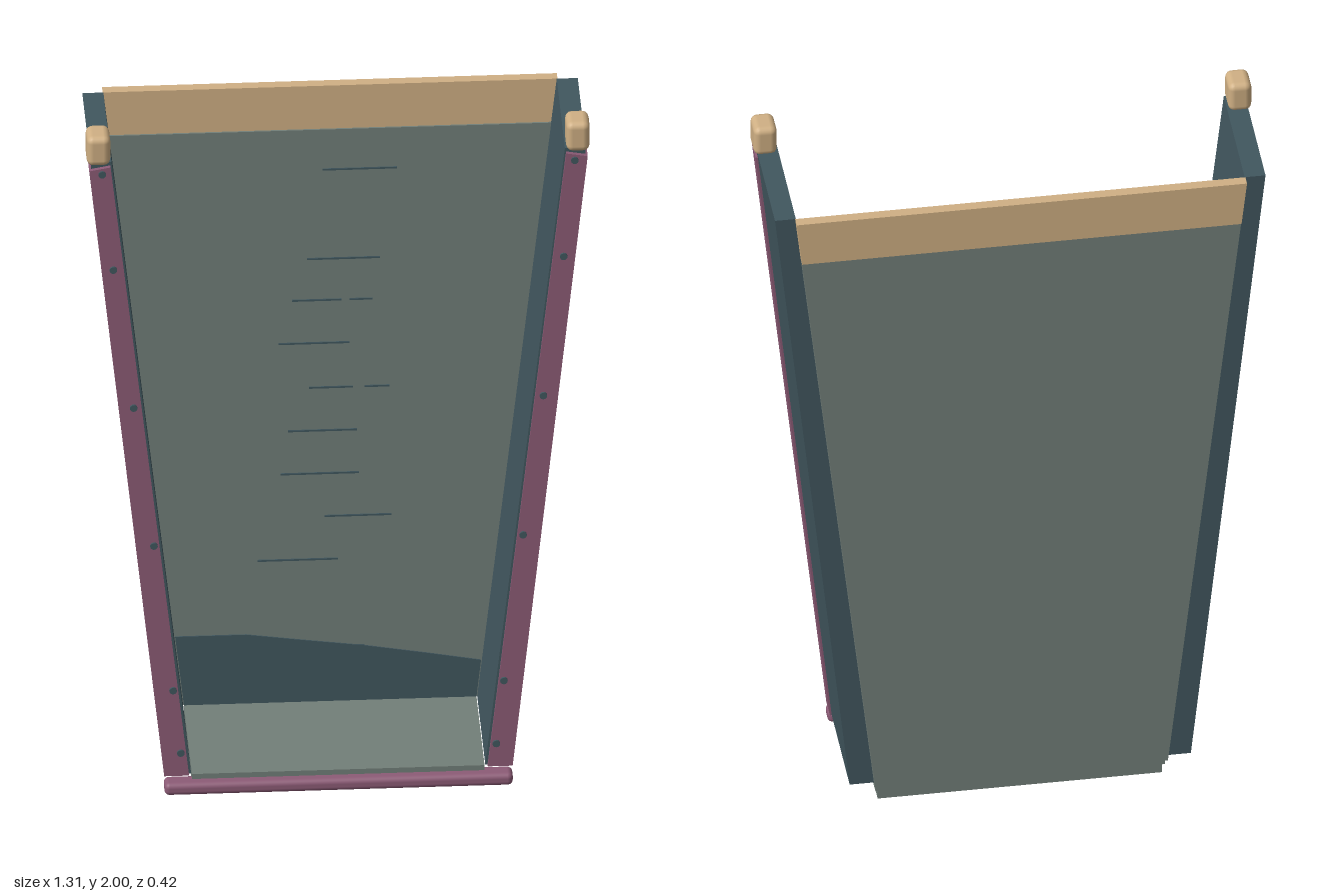
import * as THREE from 'three';
import { RoundedBoxGeometry } from 'three/addons/geometries/RoundedBoxGeometry.js';

const material = (name, color) => {
  const m = new THREE.MeshStandardMaterial({ color });
  m.name = name;
  return m;
};

// Flat outline in x/y given thickness from z0 to z1
function slab(points, z0, z1) {
  const shape = new THREE.Shape(points.map(([x, y]) => new THREE.Vector2(x, y)));
  const g = new THREE.ExtrudeGeometry(shape, { depth: z1 - z0, bevelEnabled: false });
  return g.translate(0, 0, z0);
}

export function createModel() {
  const teal = material('darkTeal', 0x41575f);
  const grey = material('greyGreen', 0x727f79);
  const plum = material('plum', 0x8c5b76);
  const tan = material('tan', 0xd0b084);

  const model = new THREE.Group();
  const add = (name, geometry, mat, parent = model) => {
    const mesh = new THREE.Mesh(geometry, mat);
    mesh.name = name;
    parent.add(mesh);
    return mesh;
  };

  // Inner half width of the flared trough at a given height
  const inner = (y) => 0.382 + (y - 0.06) * 0.1118;
  const band = (y0, y1, extra = 0) => [
    [-inner(y0) - extra, y0], [inner(y0) + extra, y0],
    [inner(y1) + extra, y1], [-inner(y1) - extra, y1],
  ];

  // Back panel with its top rail
  add('backPanel', slab(band(0.06, 1.79, 0.004), -0.203, -0.175), grey);
  add('topRail', slab(band(1.79, 1.92, 0.004), -0.208, -0.18), tan);

  // Floor, stepped in at the underside
  add('floor', slab([[-0.382, 0.03], [0.382, 0.03], [0.382, 0.06], [-0.382, 0.06]], -0.178, 0.18), grey);
  add('floorBase', slab([[-0.375, 0], [0.375, 0], [0.375, 0.03], [-0.375, 0.03]], -0.172, 0.175), grey);

  // Front sill bar
  const sill = add('frontSill', new RoundedBoxGeometry(0.91, 0.036, 0.052, 3, 0.014), plum);
  sill.position.set(0, 0.027, 0.181);

  // Side walls, front trims, rivets and corner caps
  const rivets = [[0.617, 1.89], [0.588, 1.6], [0.535, 1.18], [0.482, 0.76], [0.432, 0.32], [0.412, 0.13]];
  for (const s of [1, -1]) {
    const side = new THREE.Group();
    side.name = s > 0 ? 'leftSide' : 'rightSide';
    model.add(side);
    const mirror = (pts) => pts.map(([x, y]) => [s * x, y]);
    add('wall', slab(mirror([[0.384, 0.06], [0.45, 0.06], [0.647, 1.92], [0.592, 1.92]]), -0.18, 0.176), teal, side);
    add('trim', slab(mirror([[0.39, 0.06], [0.455, 0.06], [0.651, 1.9], [0.595, 1.91]]), 0.125, 0.187), plum, side);
    const cap = add('cornerCap', new RoundedBoxGeometry(0.062, 0.087, 0.082, 2, 0.018), tan, side);
    cap.position.set(s * 0.626, 1.9565, 0.15);
    for (const [x, y] of rivets) {
      const rivet = add('rivet', new THREE.CylinderGeometry(0.01, 0.01, 0.008, 12).rotateX(Math.PI / 2), teal, side);
      rivet.position.set(s * x, y, 0.188);
    }
  }

  // Dark stain along the foot of the back panel
  add('lowerStain', slab([
    [-0.382, 0.06], [0.382, 0.06], [0.394, 0.17], [0.25, 0.197], [0.09, 0.225],
    [-0.08, 0.248], [-0.22, 0.268], [-0.405, 0.268],
  ], -0.175, -0.172), teal);

  // Thin scratches: height, left end, right end
  const scratches = [
    [1.67, -0.02, 0.175], [1.4, -0.06, 0.13], [1.275, -0.1, 0.03], [1.275, 0.05, 0.11],
    [1.145, -0.135, 0.05], [1.01, -0.055, 0.06], [1.01, 0.09, 0.155], [0.88, -0.11, 0.07],
    [0.75, -0.13, 0.075], [0.62, -0.015, 0.16], [0.49, -0.19, 0.02], [0.225, -0.02, 0.09],
  ];
  for (const [y, x0, x1] of scratches) {
    const scratch = add('scratch', new THREE.BoxGeometry(x1 - x0, 0.005, 0.004), teal);
    scratch.position.set((x0 + x1) / 2, y, -0.174);
  }

  return model;
}
